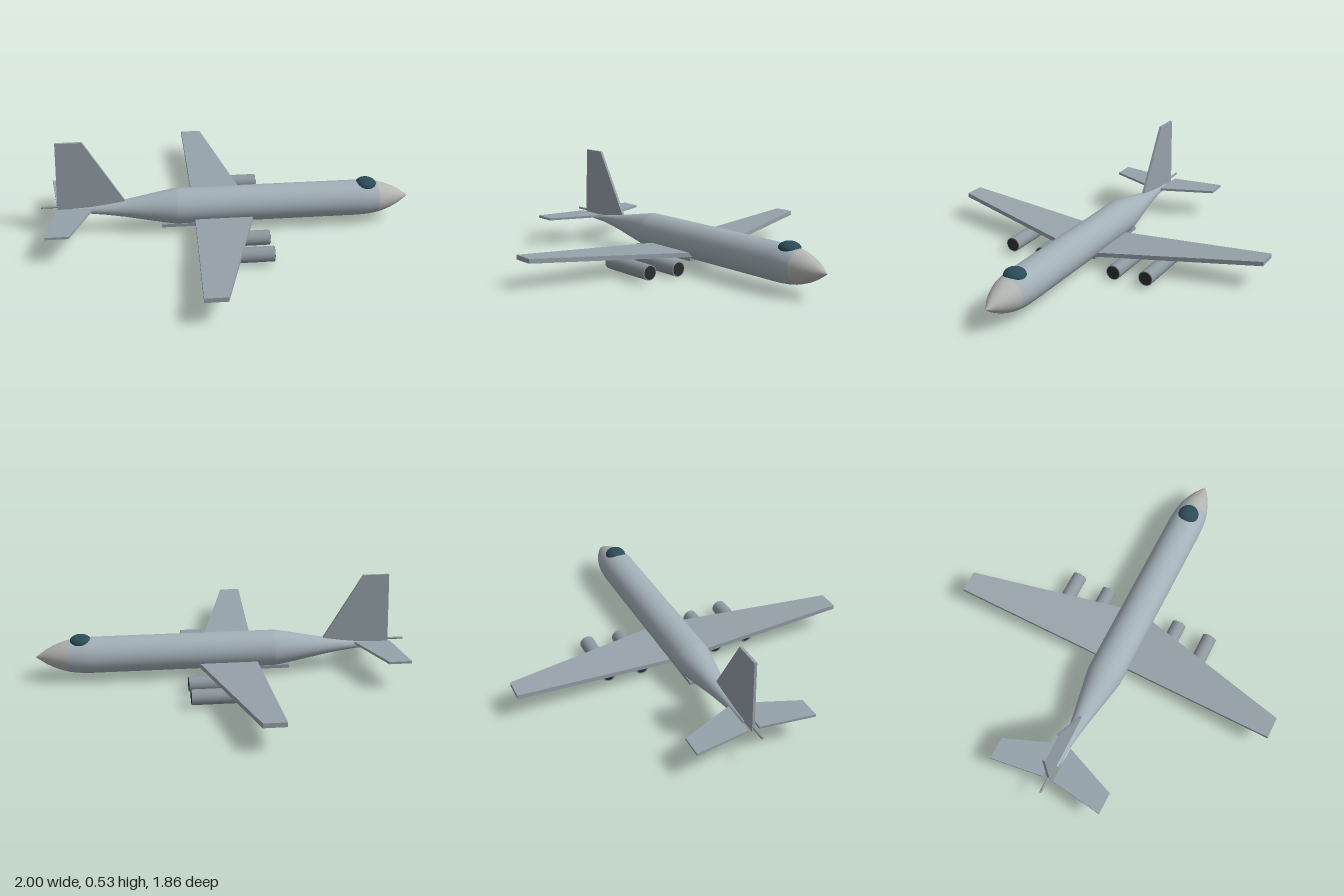
import * as THREE from 'three';

const paint = (color) => new THREE.MeshStandardMaterial({ color });
const AXIS_Y = 0.136;

export function createModel() {
  const model = new THREE.Group();
  const skin = paint(0xa3b0b8), wingPaint = paint(0x96a2aa), nosePaint = paint(0xb4b6b2);
  const steel = paint(0x8d989f), dark = paint(0x2b2e31), glass = paint(0x2c4c58);

  const add = (name, geometry, material, x = 0, y = 0, z = 0) => {
    const mesh = new THREE.Mesh(geometry, material);
    mesh.name = name;
    mesh.position.set(x, y, z);
    model.add(mesh);
    return mesh;
  };

  // Body of revolution along x from [x, radius] pairs
  const spindle = (pairs) =>
    new THREE.LatheGeometry(pairs.map(([x, r]) => new THREE.Vector2(r, x)), 40).rotateZ(-Math.PI / 2);

  // Rod along x between two stations
  const rod = (x0, x1, r, sides = 24) =>
    new THREE.CylinderGeometry(r, r, x1 - x0, sides).rotateZ(-Math.PI / 2).translate((x0 + x1) / 2, 0, 0);

  const outline = (points) => new THREE.Shape(points.map(([a, b]) => new THREE.Vector2(a, b)));

  // Flat slab from an [x, z] plan, raised towards the tip by the dihedral
  const slab = (plan, side, thickness, topY, dihedral) => {
    const shape = outline(plan.map(([x, z]) => [x, z * side]));
    const g = new THREE.ExtrudeGeometry(shape, { depth: thickness, bevelEnabled: false });
    g.rotateX(Math.PI / 2);
    const p = g.attributes.position;
    for (let i = 0; i < p.count; i++) p.setY(i, p.getY(i) + topY + dihedral * Math.abs(p.getZ(i)));
    g.computeVertexNormals();
    return g;
  };

  // Fuselage and nose cone
  add('fuselage', spindle([
    [-0.84, 0], [-0.84, 0.016], [-0.84, 0.016], [-0.74, 0.021], [-0.65, 0.032], [-0.56, 0.046],
    [-0.46, 0.065], [-0.37, 0.082], [-0.285, 0.097], [-0.27, 0.097], [0.7, 0.097], [0.74, 0.096],
    [0.78, 0.093], [0.825, 0.086],
  ]), skin, 0, AXIS_Y);
  add('noseCone', spindle([
    [0.825, 0.086], [0.86, 0.076], [0.9, 0.061], [0.94, 0.041], [0.975, 0.018], [1.0, 0],
  ]), nosePaint, 0, AXIS_Y);

  // Cockpit canopy
  add('canopy', new THREE.SphereGeometry(0.057, 32, 20).scale(1, 0.63, 1), glass, 0.76, 0.217, 0);

  // Belly bay door
  add('bellyBay', new THREE.BoxGeometry(0.46, 0.018, 0.11), steel, -0.13, 0.045, 0);

  // Wings, tailplanes and engines, mirrored across the fuselage
  const wingPlan = [[0.15, 0], [-0.085, 0.93], [-0.2, 0.93], [-0.18, 0]];
  const tailPlan = [[-0.725, 0.03], [-0.84, 0.32], [-0.96, 0.32], [-0.92, 0.03]];
  for (const [side, label] of [[1, 'front'], [-1, 'back']]) {
    add(label + 'Wing', slab(wingPlan, side, 0.024, 0.087, 0.075), wingPaint);
    add(label + 'Tailplane', slab(tailPlan, side, 0.013, 0.161, 0), wingPaint);
    for (const [place, z, y] of [['Inner', 0.222, 0.041], ['Outer', 0.41, 0.054]]) {
      add(label + place + 'Engine', rod(-0.12, 0.2, 0.04), steel, 0, y, z * side);
      add(label + place + 'Intake', rod(0.195, 0.202, 0.035), dark, 0, y, z * side);
      add(label + place + 'Exhaust', rod(-0.122, -0.115, 0.032), dark, 0, y, z * side);
    }
  }

  // Vertical fin
  const fin = outline([[-0.915, 0.14], [-0.527, 0.14], [-0.76, 0.535], [-0.9, 0.535]]);
  add('fin', new THREE.ExtrudeGeometry(fin, { depth: 0.014, bevelEnabled: false }), wingPaint, 0, 0, -0.007);

  // Tail boom
  add('tailBoom', rod(-1.0, -0.78, 0.006, 12), steel, 0, 0.163, 0);

  return model;
}
